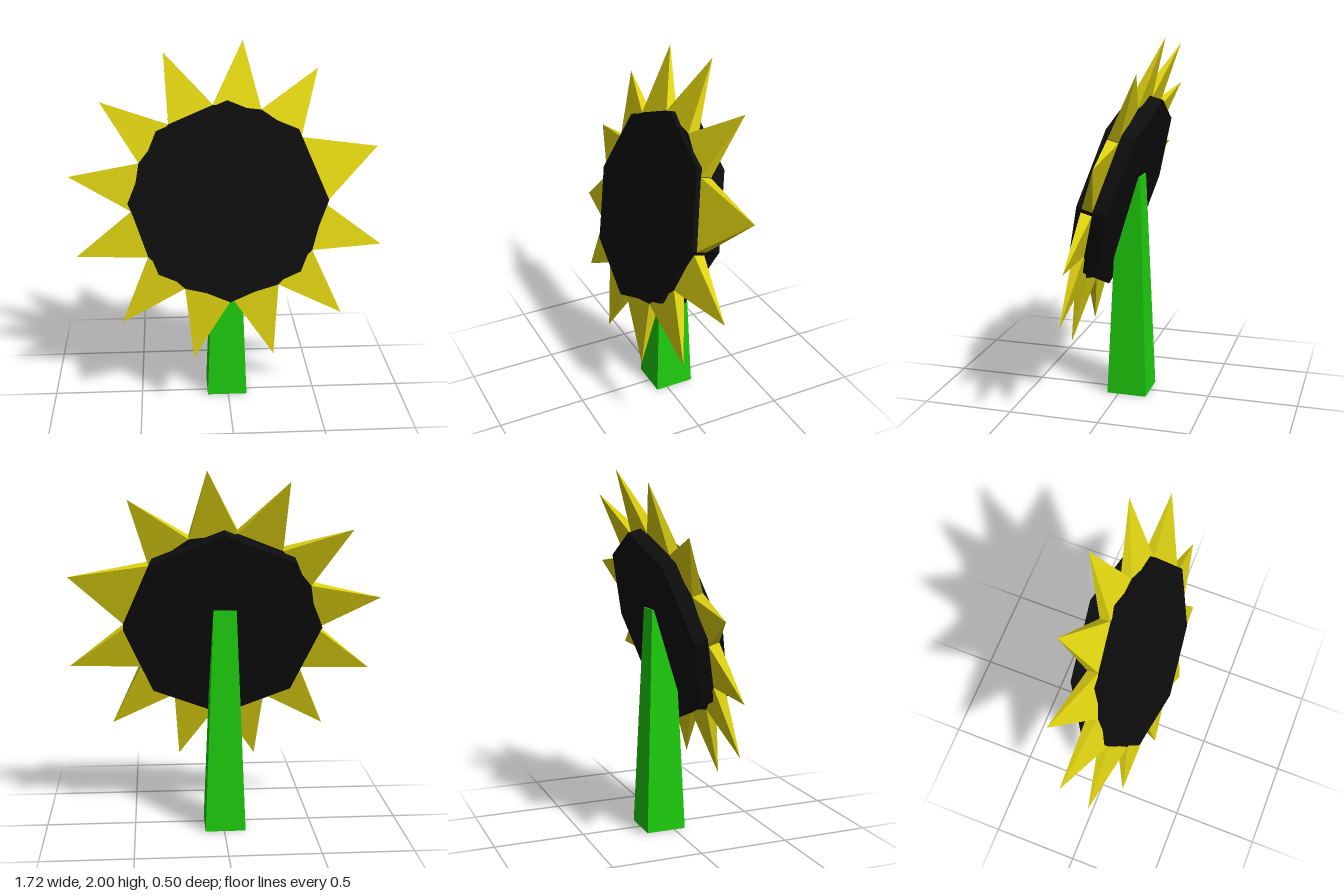
import * as THREE from 'three';
import { ConvexGeometry } from 'three/addons/geometries/ConvexGeometry.js';

const PETALS = 12;
const VALLEY_R = 0.53, TIP_R = 0.885;
const BASE_BACK = -0.005, BASE_FRONT = 0.057, TIP_W = -0.02;
const FIRST = 40.5, STEP = 28.85; // one petal closes the remaining, wider gap

function material(color) {
  return new THREE.MeshStandardMaterial({ color, flatShading: true });
}

function addMesh(parent, name, geometry, mat) {
  const mesh = new THREE.Mesh(geometry, mat);
  mesh.name = name;
  parent.add(mesh);
  return mesh;
}

function polar(degrees, radius, w) {
  const a = THREE.MathUtils.degToRad(degrees);
  return new THREE.Vector3(radius * Math.cos(a), radius * Math.sin(a), w);
}

export function createModel() {
  const model = new THREE.Group();
  model.name = 'sunflower';
  const black = material(0x0d0d0d);
  const yellow = material(0xdcd010);
  const green = material(0x1dcd0d);

  // Tapered square stem
  const stemGeo = new THREE.CylinderGeometry(0.063 * Math.SQRT2, 0.1125 * Math.SQRT2, 1.25, 4);
  stemGeo.rotateY(Math.PI / 4);
  const stem = addMesh(model, 'stem', stemGeo, green);
  stem.position.set(-0.007, 0.625, -0.048);

  // Flower head, leaning back
  const head = new THREE.Group();
  head.name = 'flowerHead';
  head.position.set(0, 1.165, 0.01);
  head.rotation.x = -0.283;
  model.add(head);

  // Octagonal seed disc with a corner at the top
  const discGeo = new THREE.CylinderGeometry(0.547, 0.547, 0.165, 8);
  discGeo.rotateX(Math.PI / 2);
  addMesh(head, 'seedDisc', discGeo, black);

  // Ring core that carries the petals
  const valleys = Array.from({ length: PETALS }, (_, i) => FIRST + STEP * i);
  const rim = (deg) => [polar(deg, VALLEY_R, BASE_BACK), polar(deg, VALLEY_R, BASE_FRONT)];
  addMesh(head, 'petalCore', new ConvexGeometry(valleys.flatMap(rim)), black);

  // Pointed pyramid petals, one per side of the core
  valleys.forEach((start, i) => {
    const end = i + 1 < PETALS ? valleys[i + 1] : FIRST + 360;
    const tip = polar((start + end) / 2, TIP_R, TIP_W);
    addMesh(head, `petal${i + 1}`, new ConvexGeometry([...rim(start), ...rim(end), tip]), yellow);
  });

  return model;
}
